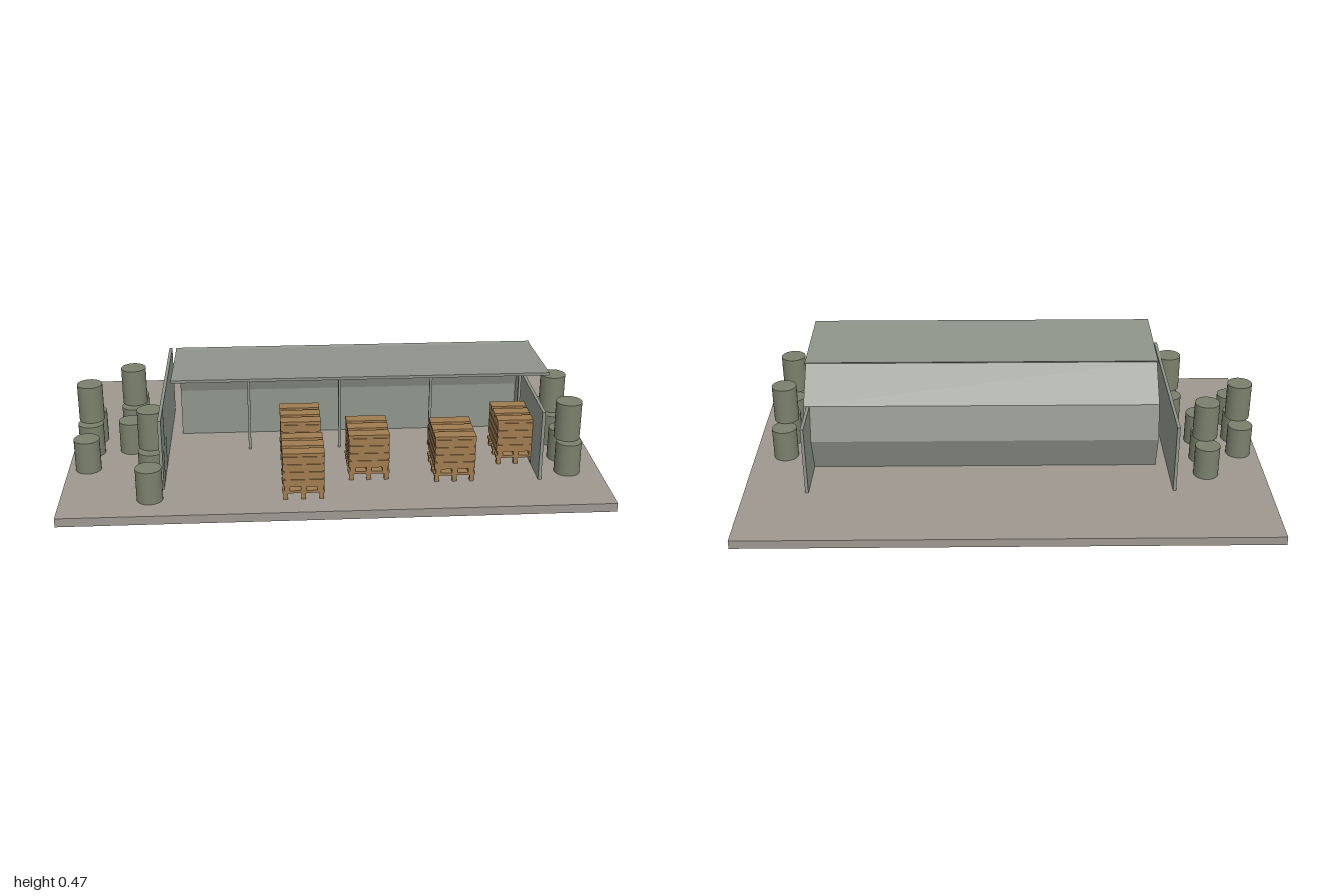
import * as THREE from 'three';

const mat = (color) => new THREE.MeshStandardMaterial({ color, flatShading: true });
const metal = mat(0x8f948b);
const concrete = mat(0x9e9890);
const wood = mat(0xa07c50);
const drum = new THREE.MeshStandardMaterial({ color: 0x7a806c });

const GROUND = 0.068;

// box given by its min and max corners
function box(parent, name, material, x0, x1, y0, y1, z0, z1) {
  const mesh = new THREE.Mesh(new THREE.BoxGeometry(x1 - x0, y1 - y0, z1 - z0), material);
  mesh.position.set((x0 + x1) / 2, (y0 + y1) / 2, (z0 + z1) / 2);
  mesh.name = name;
  parent.add(mesh);
  return mesh;
}

// side profile of [z, y] points, swept along x
function sweep(parent, name, material, points, x0, x1) {
  const shape = new THREE.Shape(points.map(([z, y]) => new THREE.Vector2(-z, y)));
  const geo = new THREE.ExtrudeGeometry(shape, { depth: x1 - x0, bevelEnabled: false });
  geo.rotateY(Math.PI / 2);
  geo.translate(x0, 0, 0);
  const mesh = new THREE.Mesh(geo, material);
  mesh.name = name;
  parent.add(mesh);
}

// stacked wooden crate on a pallet
function crate(x, z) {
  const g = new THREE.Group();
  g.name = 'crate';
  const w = 0.073, d = 0.093;
  for (const rx of [-0.065, 0, 0.065]) {
    for (const rz of [-0.083, 0, 0.083]) {
      box(g, 'palletFoot', wood, rx - 0.008, rx + 0.008, 0, 0.026, rz - 0.008, rz + 0.008);
    }
  }
  for (const rz of [-0.075, 0, 0.075]) {
    box(g, 'palletBoard', wood, -0.077, 0.077, 0.026, 0.036, rz - 0.018, rz + 0.018);
  }
  for (const rx of [-0.06, 0, 0.06]) {
    box(g, 'palletRunner', wood, rx - 0.01, rx + 0.01, 0.036, 0.055, -d, d);
  }
  box(g, 'crateBody', wood, -w + 0.004, w - 0.004, 0.05, 0.172, -d + 0.003, d - 0.003);
  // side boards
  for (let i = 0; i < 4; i++) {
    const y = 0.054 + i * 0.03;
    box(g, 'crateBoard', wood, -w - 0.002, w + 0.002, y, y + 0.025, -d, d);
  }
  // lid boards
  for (const rz of [-0.066, 0, 0.066]) {
    box(g, 'lidBoard', wood, -w - 0.003, w + 0.003, 0.168, 0.181, rz - 0.024, rz + 0.024);
  }
  g.position.set(x, GROUND, z);
  return g;
}

export function createModel() {
  const model = new THREE.Group();
  model.name = 'shelter';

  box(model, 'base', concrete, -1, 1, 0.035, GROUND, -0.635, 0.635);

  // side walls
  for (const x of [-0.635, 0.76]) {
    box(model, 'sideWall', metal, x - 0.006, x + 0.006, GROUND, 0.34, -0.315, 0.43);
  }

  // leaning back shell, low inner wall and canopy
  sweep(model, 'backShell', metal,
    [[0.01, 0.458], [-0.13, 0.34], [-0.165, 0.205], [-0.12, GROUND]], -0.585, 0.777);
  box(model, 'lowWall', metal, -0.585, 0.777, GROUND, 0.255, -0.095, -0.058);
  sweep(model, 'canopy', metal,
    [[0.375, 0.473], [0.375, 0.463], [0.012, 0.445], [0.005, 0.46], [0.02, 0.456]], -0.59, 0.782);

  // canopy posts, running through the base
  for (const x of [-0.315, 0.035, 0.388, 0.736]) {
    box(model, 'post', metal, x - 0.005, x + 0.005, 0, 0.452, 0.095, 0.105);
  }

  // drums: [x, first z, second stack?]
  const drumGeo = new THREE.CylinderGeometry(0.048, 0.048, 0.145, 32);
  const addDrum = (x, z, level) => {
    const mesh = new THREE.Mesh(drumGeo, drum);
    mesh.name = 'drum';
    mesh.position.set(x, 0.12 + level * 0.145, z);
    model.add(mesh);
  };
  for (const [x, z, extra] of [[0.877, -0.026, true], [-0.925, -0.026, false],
    [-0.772, -0.188, false], [-0.676, 0.235, false]]) {
    addDrum(x, z, 0);
    addDrum(x, z + 0.122, 0);
    addDrum(x, z + 0.267, 0);
    addDrum(x, z + 0.079, 1);
    if (extra) {
      addDrum(x, z + 0.389, 0);
      addDrum(x, z + 0.351, 1);
    }
  }

  // crates
  for (const [x, z] of [[-0.122, 0.446], [-0.122, 0.17], [0.125, 0.305], [0.44, 0.336], [0.696, 0.2]]) {
    model.add(crate(x, z));
  }
  return model;
}
